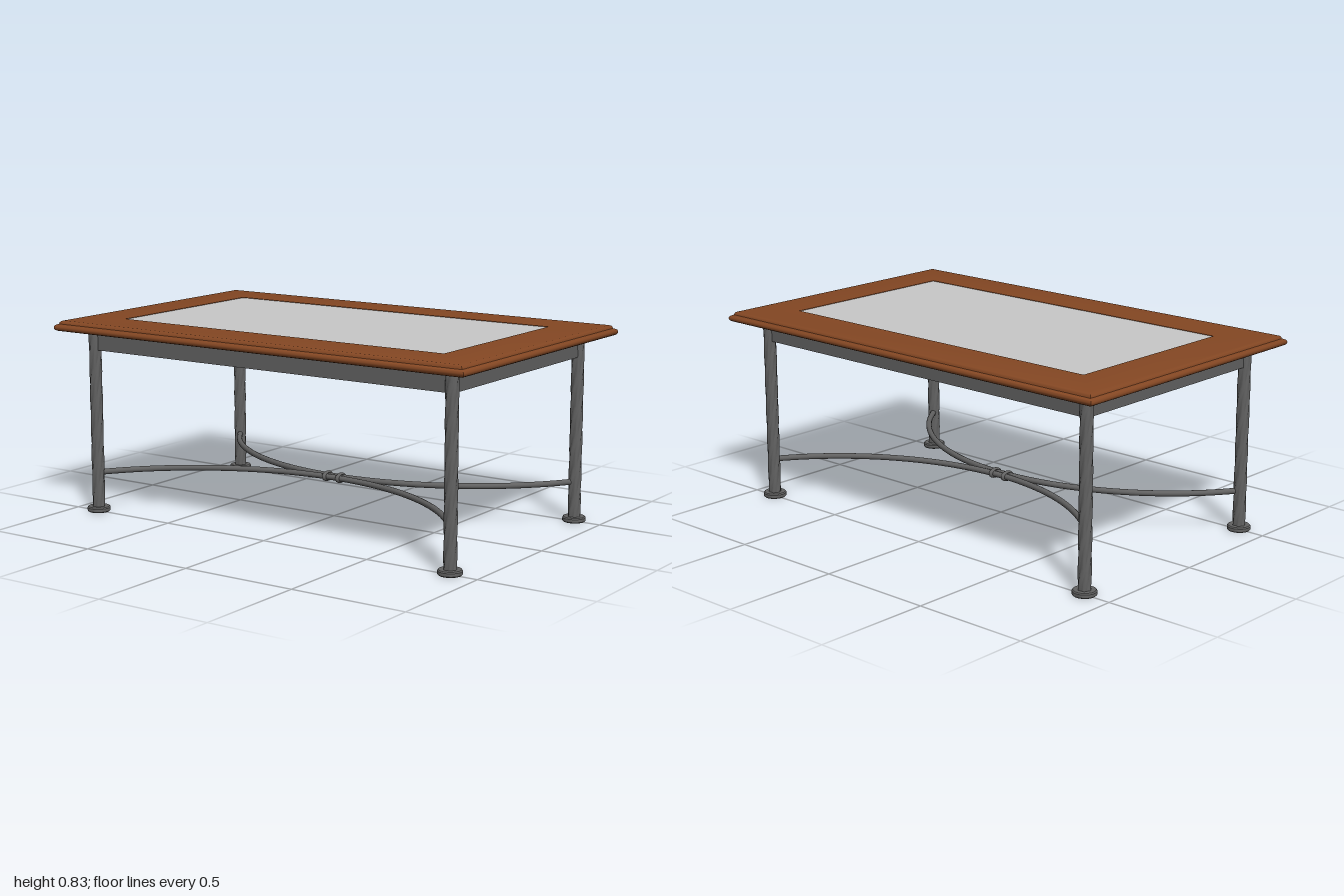
import * as THREE from 'three';
import { toCreasedNormals } from 'three/addons/utils/BufferGeometryUtils.js';

const wood = new THREE.MeshStandardMaterial({ color: 0x844723 });
wood.name = 'brown wood';
const iron = new THREE.MeshStandardMaterial({ color: 0x626262 });
iron.name = 'dark iron';
const glass = new THREE.MeshStandardMaterial({ color: 0xc8c8c8 });
glass.name = 'pale glass';

const LEG_X = 0.88, LEG_Z = 0.5, RAIL_Y = 0.17;

function add(parent, name, geometry, material, x = 0, y = 0, z = 0) {
  const mesh = new THREE.Mesh(geometry, material);
  mesh.name = name;
  mesh.position.set(x, y, z);
  parent.add(mesh);
  return mesh;
}

// Sweeps a closed [inset, height] profile around a rectangle with mitred corners.
function mitredFrame(halfX, halfZ, profile) {
  const corners = [[-1, 1], [1, 1], [1, -1], [-1, -1]];
  const at = ([sx, sz], [d, y]) => [sx * (halfX - d), y, sz * (halfZ - d)];
  const positions = [];
  corners.forEach((a, i) => {
    const b = corners[(i + 1) % 4];
    profile.forEach((p, j) => {
      const q = profile[(j + 1) % profile.length];
      const a0 = at(a, p), b0 = at(b, p), b1 = at(b, q), a1 = at(a, q);
      positions.push(...a0, ...b0, ...b1, ...a0, ...b1, ...a1);
    });
  });
  const geometry = new THREE.BufferGeometry();
  geometry.setAttribute('position', new THREE.Float32BufferAttribute(positions, 3));
  return toCreasedNormals(geometry, 0.65);
}

// Upright bar with lobes that wind around its axis, narrowing at the very top.
function twistedLeg(height) {
  const geometry = new THREE.CylinderGeometry(1, 1, height, 36, 48);
  const pos = geometry.attributes.position;
  for (let i = 0; i < pos.count; i++) {
    const x = pos.getX(i), y = pos.getY(i), z = pos.getZ(i);
    const t = y / height + 0.5;
    const angle = Math.atan2(z, x);
    const lobe = Math.abs(Math.cos(3 * (angle + t * Math.PI * 2)));
    const r = Math.hypot(x, z) * (0.0225 + 0.0045 * lobe) * (t > 0.985 ? 0.85 : 1);
    pos.setXYZ(i, r * Math.cos(angle), y, r * Math.sin(angle));
  }
  return toCreasedNormals(geometry, 0.6);
}

// Flat circular bow from leg to leg, nearly touching the centre line.
function bowRail(side) {
  const inner = 0.0125, rise = LEG_Z - inner;
  const radius = (LEG_X ** 2 + rise ** 2) / (2 * rise);
  const points = [];
  for (let i = 0; i <= 24; i++) {
    const x = LEG_X * (i / 12 - 1);
    const z = inner + radius - Math.sqrt(radius ** 2 - x ** 2);
    points.push(new THREE.Vector3(x, 0, side * z));
  }
  return new THREE.TubeGeometry(new THREE.CatmullRomCurve3(points), 64, 0.0125, 12);
}

export function createModel() {
  const table = new THREE.Group();
  table.name = 'coffeeTable';

  // Moulded wooden border: rounded lip, small step, flat top, relieved inner edge
  const profile = [
    [0.012, 0.785], [0.004, 0.789], [0, 0.796], [0, 0.802], [0.004, 0.809], [0.012, 0.813],
    [0.016, 0.814], [0.018, 0.821], [0.023, 0.826], [0.03, 0.828],
    [0.213, 0.828], [0.213, 0.812], [0.205, 0.803], [0.195, 0.793], [0.18, 0.785],
  ];
  add(table, 'topFrame', mitredFrame(1, 0.622, profile), wood);

  // Inset pane
  add(table, 'glassPane', new THREE.BoxGeometry(1.582, 0.014, 0.828), glass, 0, 0.819, 0);

  // Apron under the top
  const apronY = 0.743, apronH = 0.085, apronT = 0.02;
  for (const s of [-1, 1]) {
    add(table, 'longApron', new THREE.BoxGeometry(2 * LEG_X, apronH, apronT), iron, 0, apronY, s * LEG_Z);
    add(table, 'shortApron', new THREE.BoxGeometry(apronT, apronH, 2 * LEG_Z), iron, s * LEG_X, apronY, 0);
  }

  // Legs with round feet
  const legGeometry = twistedLeg(0.77);
  const footProfile = [[0, 0], [0.045, 0], [0.049, 0.004], [0.049, 0.017], [0.045, 0.022], [0, 0.022]];
  const footGeometry = toCreasedNormals(
    new THREE.LatheGeometry(footProfile.map(([r, y]) => new THREE.Vector2(r, y)), 32), 0.6);
  for (const sx of [-1, 1]) for (const sz of [-1, 1]) {
    const leg = new THREE.Group();
    leg.name = 'leg';
    leg.position.set(sx * LEG_X, 0, sz * LEG_Z);
    add(leg, 'twistedPost', legGeometry, iron, 0, 0.4, 0);
    add(leg, 'foot', footGeometry, iron);
    table.add(leg);
  }

  // Bowed stretcher rails and the two oval rings clasping them
  for (const s of [-1, 1]) {
    add(table, 'stretcherRail', bowRail(s), iron, 0, RAIL_Y, 0);
    const ring = add(table, 'claspRing', new THREE.TorusGeometry(0.026, 0.009, 12, 32), iron, s * 0.034, RAIL_Y, 0);
    ring.rotation.y = Math.PI / 2;
    ring.scale.y = 0.63;
  }

  return table;
}
